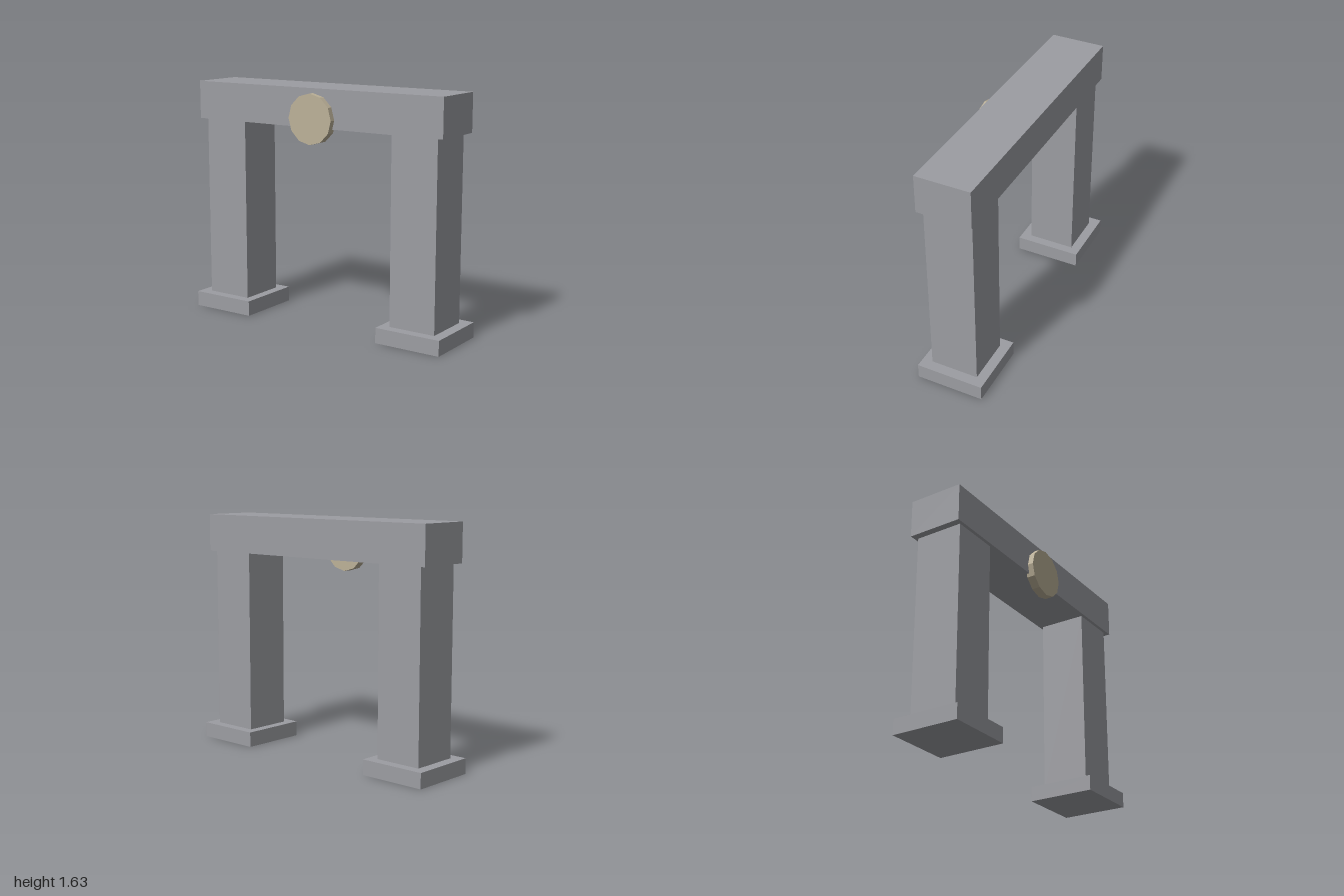
import * as THREE from 'three';

const stone = new THREE.MeshStandardMaterial({ color: 0x9c9da2 });
stone.name = 'grey stone';
const sand = new THREE.MeshStandardMaterial({ color: 0xbcb198, flatShading: true });
sand.name = 'sand stone';

// Box standing on height y
function block(name, w, h, d, x, y) {
  const mesh = new THREE.Mesh(new THREE.BoxGeometry(w, h, d), stone);
  mesh.name = name;
  mesh.position.set(x, y + h / 2, 0);
  return mesh;
}

export function createModel() {
  const gate = new THREE.Group();
  gate.name = 'stoneGateway';

  // Mirrored pillars on their plinths
  for (const [label, side] of [['left', 1], ['right', -1]]) {
    gate.add(block(label + 'Plinth', 0.472, 0.105, 0.472, side * 0.764, 0));
    gate.add(block(label + 'Pillar', 0.334, 1.267, 0.334, side * 0.76, 0.105));
  }

  // Lintel across both pillars
  gate.add(block('lintel', 1.95, 0.262, 0.38, 0, 1.37));

  // Twelve-sided medallion set into the front of the lintel
  const medallion = new THREE.Mesh(new THREE.CylinderGeometry(0.17, 0.17, 0.06, 12), sand);
  medallion.name = 'medallion';
  medallion.rotation.x = Math.PI / 2;
  medallion.position.set(0, 1.43, 0.2);
  gate.add(medallion);

  return gate;
}
